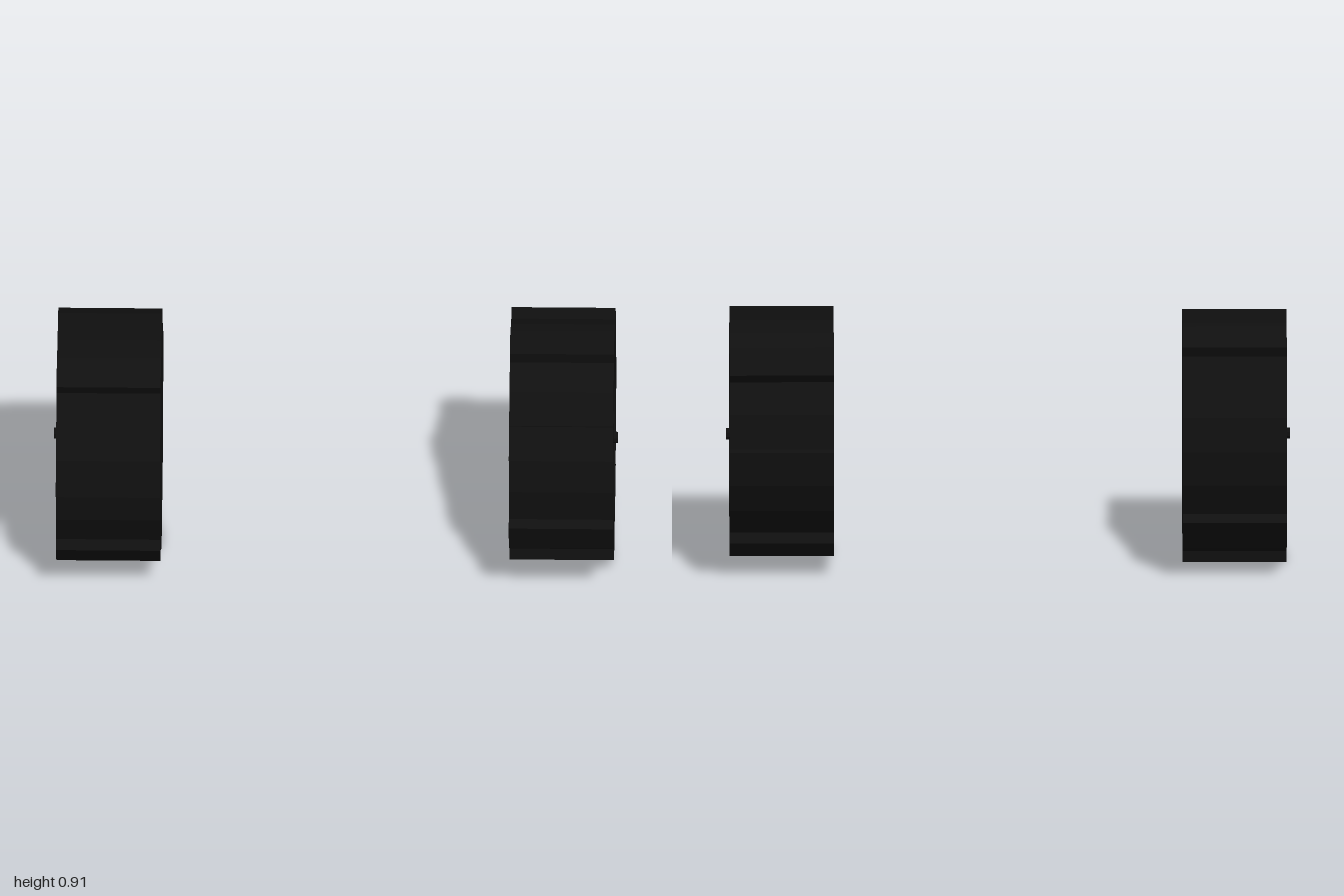
import * as THREE from 'three';

const black = new THREE.MeshStandardMaterial({ color: 0x0f0f0f, flatShading: true });
black.name = 'blackRubber';
const grey = new THREE.MeshStandardMaterial({ color: 0xb0b0b0, flatShading: true });
grey.name = 'greyMetal';

const DEG = Math.PI / 180;
const SIDES = 21, LUGS = 7;          // every third facet carries a tread block
const APOTHEM = 0.405, LUG_OUTER = 0.446;
const DEPTH = 0.369, FLOOR = 0.255;  // tyre width and height of the recess floor
const RIM = 0.3;                     // recess radius

function add(parent, name, geometry, material) {
  const mesh = new THREE.Mesh(geometry, material);
  mesh.name = name;
  parent.add(mesh);
  return mesh;
}

// many-sided outline with facet normals at multiples of 360 / SIDES
function tyreShape() {
  const r = APOTHEM / Math.cos(Math.PI / SIDES);
  const points = [];
  for (let i = 0; i < SIDES; i++) {
    const a = ((i + 0.5) / SIDES) * Math.PI * 2;
    points.push(new THREE.Vector2(Math.cos(a) * r, Math.sin(a) * r));
  }
  return new THREE.Shape(points);
}

function extrude(shape, depth) {
  return new THREE.ExtrudeGeometry(shape, { depth, bevelEnabled: false, curveSegments: 16 });
}

function cylinder(radius, length, sides) {
  return new THREE.CylinderGeometry(radius, radius, length, sides).rotateX(Math.PI / 2);
}

// wheel with its outer face towards +z and its inner face on z = 0
function createWheel() {
  const wheel = new THREE.Group();

  // tyre sits very slightly off the hub centre
  const tyre = new THREE.Group();
  tyre.name = 'tyre';
  tyre.position.set(0.0066, 0.0055, 0);
  tyre.rotation.z = 48.26 * DEG;
  wheel.add(tyre);

  add(tyre, 'innerDisc', extrude(tyreShape(), FLOOR), black);
  const ringShape = tyreShape();
  ringShape.holes.push(new THREE.Path().absarc(0, 0, RIM, 0, Math.PI * 2, true));
  add(tyre, 'outerRing', extrude(ringShape, DEPTH - FLOOR), black).position.z = FLOOR;

  // tread blocks
  const lugHeight = LUG_OUTER - APOTHEM;
  const lugWidth = 2 * APOTHEM * Math.tan(Math.PI / SIDES);
  for (let i = 0; i < LUGS; i++) {
    const a = (i / LUGS) * Math.PI * 2;
    const r = APOTHEM + lugHeight / 2;
    const lug = add(tyre, 'treadBlock', new THREE.BoxGeometry(lugHeight, lugWidth, DEPTH), black);
    lug.position.set(Math.cos(a) * r, Math.sin(a) * r, DEPTH / 2);
    lug.rotation.z = a;
  }

  // hub bracket, bolts and axle
  const hub = new THREE.Group();
  hub.name = 'hub';
  hub.rotation.z = 24 * DEG;
  hub.position.z = FLOOR;
  wheel.add(hub);

  add(hub, 'bracketArm', new THREE.BoxGeometry(0.1, 0.249, 0.067), grey).position.z = 0.0335;
  add(hub, 'bracketBlock', new THREE.BoxGeometry(0.121, 0.127, 0.103), grey).position.z = 0.0515;
  add(hub, 'axle', cylinder(0.02, 0.127, 8), black).position.z = 0.0635;
  for (let i = 0; i < 4; i++) {
    const a = (45 + 90 * i) * DEG;
    add(hub, 'bolt', cylinder(0.0195, 0.037, 8), grey)
      .position.set(Math.cos(a) * 0.197, Math.sin(a) * 0.197, 0.0185);
  }
  return wheel;
}

export function createModel() {
  const model = new THREE.Group();
  model.name = 'wheelPair';
  // the two wheels face outwards and have turned by different amounts
  for (const [side, name, spin] of [[1, 'leftWheel', 0], [-1, 'rightWheel', -139.5]]) {
    const mount = new THREE.Group();
    mount.name = name;
    mount.position.set(side * 0.618, 0.457, 0.004);
    mount.rotation.y = side * Math.PI / 2;
    const wheel = createWheel();
    wheel.name = name + 'Spin';
    wheel.rotation.z = spin * DEG;
    mount.add(wheel);
    model.add(mount);
  }
  return model;
}
